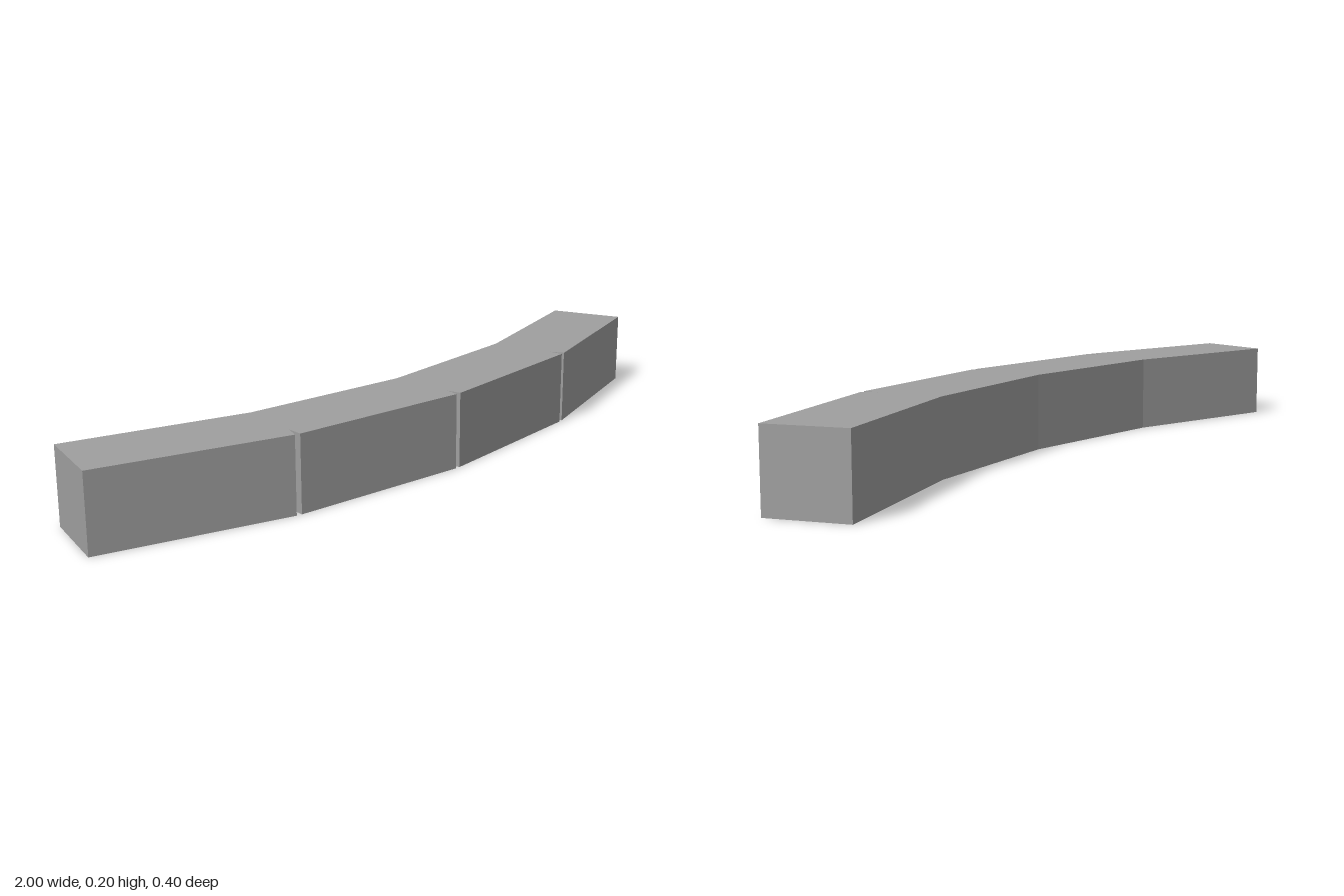
import * as THREE from 'three';

export function createModel() {
  const group = new THREE.Group();
  group.name = 'curvedKerb';
  const stone = new THREE.MeshStandardMaterial({ color: 0x9f9f9f });
  stone.name = 'grey stone';

  // Plan outline as [x, z]; the front edge has a thin V-shaped joint at each bend
  const outline = [[-1, 0]];
  const joints = [
    { x: -0.511, z: 0.149, tipX: -0.5, tipZ: 0.108, slopeL: 0.305, slopeR: 0.1 },
    { x: 0, z: 0.2, tipX: 0, tipZ: 0.16, slopeL: 0.1, slopeR: -0.1 },
    { x: 0.511, z: 0.149, tipX: 0.5, tipZ: 0.108, slopeL: -0.1, slopeR: -0.305 },
  ];
  const half = 0.007;
  for (const j of joints) {
    outline.push(
      [j.x - half, j.z - half * j.slopeL],
      [j.tipX, j.tipZ],
      [j.x + half, j.z + half * j.slopeR],
    );
  }
  // Right end and back edge
  outline.push([1, 0], [0.938, -0.2], [0.47, -0.062], [0, -0.015], [-0.47, -0.062], [-0.938, -0.2]);

  const shape = new THREE.Shape(outline.map(([x, z]) => new THREE.Vector2(x, -z)));
  const geometry = new THREE.ExtrudeGeometry(shape, { depth: 0.2, bevelEnabled: false });
  geometry.rotateX(-Math.PI / 2);

  const kerb = new THREE.Mesh(geometry, stone);
  kerb.name = 'jointedKerb';
  group.add(kerb);
  return group;
}
